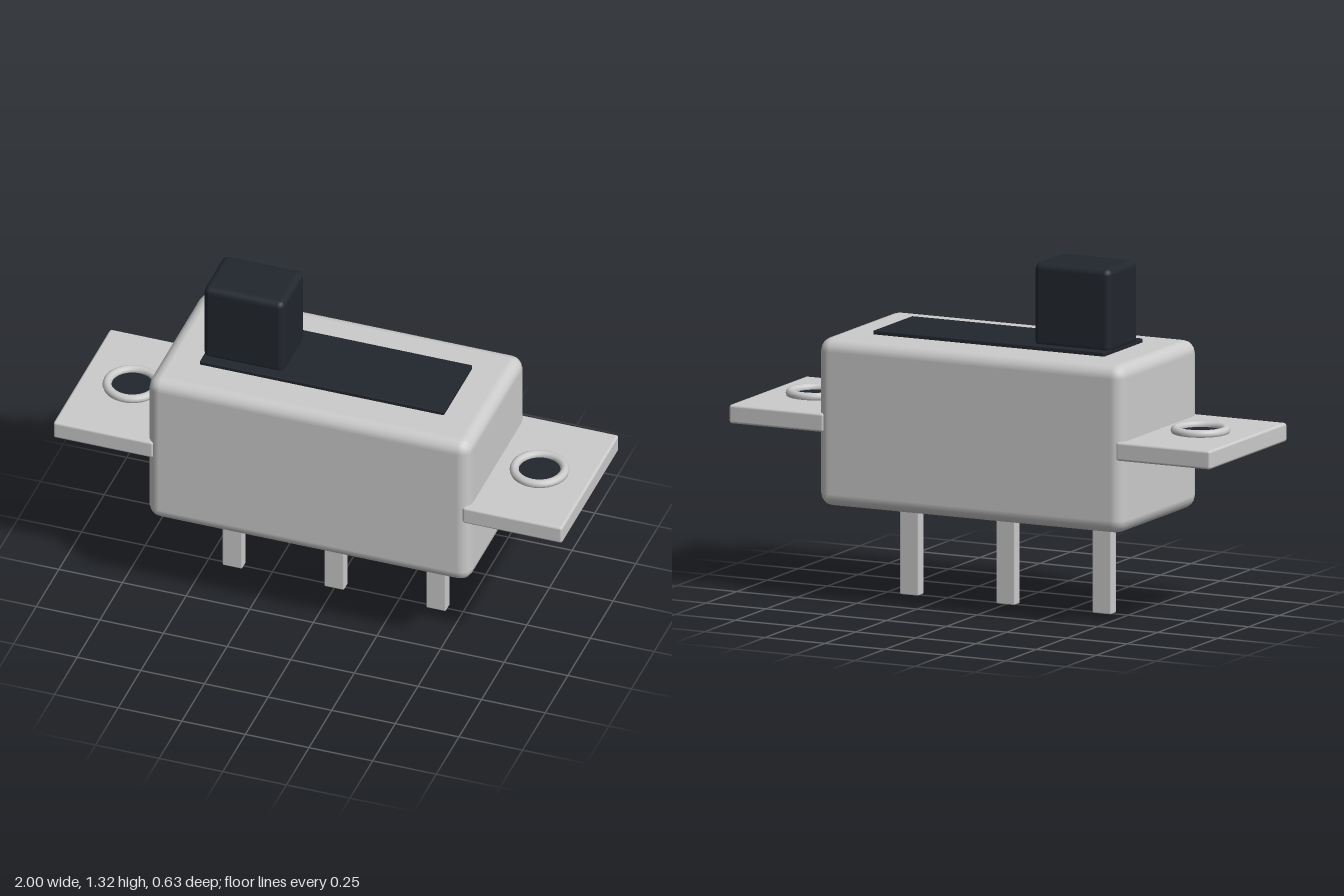
import * as THREE from 'three';
import { RoundedBoxGeometry } from 'three/addons/geometries/RoundedBoxGeometry.js';

export function createModel() {
  const group = new THREE.Group();
  const grey = new THREE.MeshStandardMaterial({ color: 0xcccccc });
  const dark = new THREE.MeshStandardMaterial({ color: 0x22272e });

  function add(name, geometry, material, x, y, z = 0) {
    const mesh = new THREE.Mesh(geometry, material);
    mesh.name = name;
    mesh.position.set(x, y, z);
    group.add(mesh);
    return mesh;
  }

  // Bevelled box given by its extents in x and y and its depth about z = 0
  function block(name, material, x0, x1, y0, y1, depth, bevel, segments = 2) {
    const geometry = new RoundedBoxGeometry(x1 - x0, y1 - y0, depth, segments, bevel);
    return add(name, geometry, material, (x0 + x1) / 2, (y0 + y1) / 2);
  }

  // Housing
  block('housing', grey, -0.635, 0.635, 0.365, 1.0, 0.632, 0.05);

  // Slot plate and sliding knob, pushed to the right-hand end
  block('slotPlate', dark, -0.48, 0.48, 0.995, 1.015, 0.316, 0.004, 1);
  block('sliderKnob', dark, -0.482, -0.165, 1.0, 1.32, 0.236, 0.025);

  // Mounting ears, each with a raised ring around a dark screw hole
  for (const [side, s] of [['left', 1], ['right', -1]]) {
    block(side + 'Ear', grey, s > 0 ? 0.607 : -1, s > 0 ? 1 : -0.607, 0.645, 0.716, 0.63, 0.01);
    const ring = add(side + 'HoleRing', new THREE.TorusGeometry(0.094, 0.017, 10, 40), grey, s * 0.8, 0.725);
    ring.rotation.x = Math.PI / 2;
    add(side + 'ScrewHole', new THREE.CylinderGeometry(0.082, 0.082, 0.04, 40), dark, s * 0.8, 0.701);
  }

  // Terminal pins
  for (const x of [-0.4, 0, 0.4]) {
    block('terminalPin', grey, x - 0.039, x + 0.039, 0, 0.4, 0.044, 0.005, 1);
  }

  return group;
}
